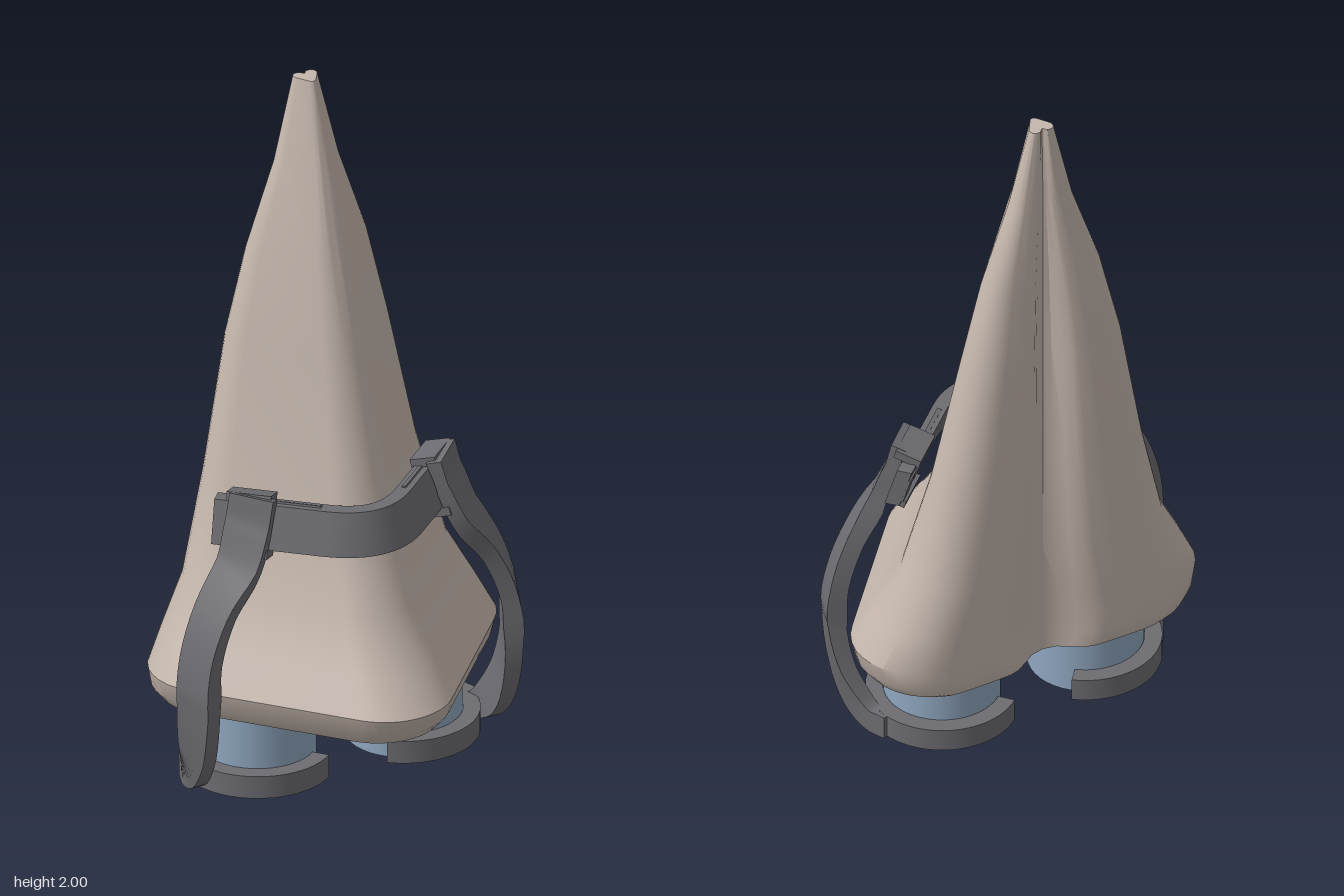
import * as THREE from 'three';
import { toCreasedNormals } from 'three/addons/utils/BufferGeometryUtils.js';

const V = (x, y, z) => new THREE.Vector3(x, y, z);
const bodyMat = new THREE.MeshStandardMaterial({ color: 0xc4b6ac });
const metalMat = new THREE.MeshStandardMaterial({ color: 0x6c6c72 });
const blueMat = new THREE.MeshStandardMaterial({ color: 0x8fa6bf });

// Closed solid through a list of rings, capped at both ends, always facing out
function loft(rings, crease) {
  const n = rings[0].length, pts = rings.flat(), tris = [];
  for (let i = 0; i < rings.length - 1; i++) {
    for (let j = 0; j < n; j++) {
      const a = i * n + j, b = i * n + (j + 1) % n;
      tris.push([a, b, a + n], [b, b + n, a + n]);
    }
  }
  for (const end of [0, rings.length - 1]) {
    const c = V(0, 0, 0);
    rings[end].forEach(p => c.addScaledVector(p, 1 / n));
    pts.push(c);
    for (let j = 0; j < n; j++) {
      const a = end * n + j, b = end * n + (j + 1) % n;
      tris.push(end ? [a, b, pts.length - 1] : [b, a, pts.length - 1]);
    }
  }
  let volume = 0;
  for (const [a, b, c] of tris) volume += pts[a].dot(V(0, 0, 0).crossVectors(pts[b], pts[c]));
  if (volume < 0) tris.forEach(t => t.reverse());
  const geo = new THREE.BufferGeometry().setFromPoints(pts);
  geo.setIndex(tris.flat());
  return toCreasedNormals(geo, crease);
}

function add(parent, name, geo, mat) {
  const mesh = new THREE.Mesh(geo, mat);
  mesh.name = name;
  parent.add(mesh);
  return mesh;
}

// Heart-like half outline as [x, z, notch weight]
function halfOutline() {
  const out = [], flank = 0.75;
  for (let i = 0; i <= 6; i++) {
    const a = Math.PI / 2 + (flank - Math.PI / 2) * i / 6;
    out.push([0.19 * Math.cos(a), 0.175 + 0.19 * Math.sin(a), 0]);
  }
  for (let i = 0; i <= 11; i++) {
    const a = flank - (flank + Math.PI / 2) * i / 11;
    out.push([0.335 + 0.18 * Math.cos(a), -0.19 + 0.18 * Math.sin(a), 0]);
  }
  out.push([0.24, -0.37, 0], [0.16, -0.37, 0.03], [0.125, -0.37, 0.16],
    [0.085, -0.37, 0.5], [0.045, -0.37, 0.87], [0, -0.37, 1]);
  return out;
}

function bodyGeometry() {
  // height, half width, front z, back z
  const levels = [
    [0.215, 0.44, 0.25, -0.36], [0.23, 0.475, 0.31, -0.367], [0.265, 0.503, 0.345, -0.37],
    [0.32, 0.515, 0.365, -0.37], [0.42, 0.465, 0.288, -0.37], [0.56, 0.39, 0.18, -0.37],
    [0.86, 0.315, 0.07, -0.37], [1.25, 0.24, -0.035, -0.365], [1.5, 0.18, -0.105, -0.342],
    [1.75, 0.095, -0.172, -0.32], [2, 0.035, -0.24, -0.306]];
  const half = halfOutline();
  const full = [...half, ...half.slice(1, -1).reverse().map(([x, z, k]) => [-x, z, k])];
  return loft(levels.map(([y, w, zf, zb]) => full.map(([x, z, k]) =>
    V(x / 0.515 * w, y, zb + (z + 0.37) / 0.735 * (zf - zb) + k * Math.max(0.012, -0.3 - zb)))), 0.5);
}

// Leaning band bent round the front of the body
function strapGeometry() {
  const path = [V(-0.36, 0, -0.135), V(-0.13, 0, 0.07)];
  const bend = new THREE.QuadraticBezierCurve3(V(-0.13, 0, 0.07), V(0, 0, 0.186), V(0.13, 0, 0.07));
  path.push(...bend.getPoints(12).slice(1), V(0.36, 0, -0.135));
  return loft(path.map((p, i) => {
    const t = path[Math.min(i + 1, path.length - 1)].clone().sub(path[Math.max(i - 1, 0)]).normalize();
    const corner = (y, d) => V(p.x - t.z * d, y, p.z + t.x * d);
    return [corner(0.855, -0.038), corner(0.855, 0.004), corner(0.735, 0.04), corner(0.735, -0.002)];
  }), 0.5);
}

// Flat bar that drops from the strap, bows outward and turns back into the foot ring
function armGeometry(s) {
  // x, y, z, facing angle, turn toward the back, width, thickness
  const keys = [
    [0.288, 0.885, -0.045, 0.82, 0, 0.125, 0.045], [0.315, 0.79, -0.03, 0.8, 0, 0.125, 0.045],
    [0.348, 0.7, -0.015, 0.75, 0, 0.12, 0.05], [0.425, 0.58, -0.008, 0.55, 0, 0.11, 0.05],
    [0.474, 0.44, 0, 0.42, 0, 0.11, 0.05], [0.482, 0.3, 0.003, 0.35, 0.05, 0.115, 0.05],
    [0.472, 0.16, -0.025, 0.2, 0.35, 0.115, 0.045], [0.456, 0.075, -0.075, 0.05, 0.9, 0.1, 0.042],
    [0.442, 0.041, -0.13, 0, 1.5, 0.072, 0.04], [0.425, 0.04, -0.19, -0.2, 1.57, 0.07, 0.03]];
  const curve = k => new THREE.CatmullRomCurve3(keys.map(v => V(...k.map(i => v[i]))));
  const path = curve([0, 1, 2]), turn = curve([3, 4, 5]), size = curve([6, 6, 6]);
  const rings = [];
  for (let i = 0; i <= 36; i++) {
    const u = i / 36, p = path.getPoint(u), t = path.getTangent(u), f = turn.getPoint(u);
    const w = V(-Math.sin(f.x) * Math.cos(f.y), -Math.sin(f.y), Math.cos(f.x) * Math.cos(f.y));
    w.addScaledVector(t, -w.dot(t)).normalize();
    const n = V(0, 0, 0).crossVectors(t, w), h = size.getPoint(u).x / 2;
    rings.push([[1, 1], [1, -1], [-1, -1], [-1, 1]].map(([a, b]) => {
      const q = p.clone().addScaledVector(w, a * f.z / 2).addScaledVector(n, b * h);
      q.x *= s;
      return q;
    }));
  }
  return loft(rings, 0.6);
}

// Open ring with its gap toward the middle of the model
function ringGeometry(s) {
  const gap = 0.87, start = (s > 0 ? Math.PI : 0) + gap, end = start + 2 * (Math.PI - gap);
  const shape = new THREE.Shape();
  shape.absarc(0, 0, 0.21, start, end, false);
  shape.absarc(0, 0, 0.162, end, start, true);
  const geo = new THREE.ExtrudeGeometry(shape, { depth: 0.067, bevelEnabled: false, curveSegments: 32 });
  return toCreasedNormals(geo.rotateX(-Math.PI / 2), 0.5);
}

export function createModel() {
  const model = new THREE.Group();
  model.name = 'strappedCone';
  add(model, 'body', bodyGeometry(), bodyMat);
  add(model, 'strap', strapGeometry(), metalMat);

  for (const s of [1, -1]) {
    const side = new THREE.Group();
    side.name = s > 0 ? 'leftSide' : 'rightSide';
    model.add(side);

    add(side, 'footCylinder', new THREE.CylinderGeometry(0.16, 0.16, 0.225, 40), blueMat)
      .position.set(s * 0.225, 0.1125, -0.14);
    add(side, 'footRing', ringGeometry(s), metalMat).position.set(s * 0.225, 0.008, -0.14);
    add(side, 'arm', armGeometry(s), metalMat);

    // Clasp lips over and under the strap, and raised rails on the strap
    const clasp = new THREE.Group();
    clasp.name = 'clasp';
    clasp.position.set(s * 0.287, 0.795, -0.065);
    clasp.rotation.set(-0.28, s * 0.73, 0, 'YXZ');
    side.add(clasp);
    for (const y of [0.075, -0.077]) {
      add(clasp, 'claspLip', new THREE.BoxGeometry(0.125, 0.025, 0.075), metalMat).position.set(0, y, 0.005);
    }
    add(clasp, 'topRail', new THREE.BoxGeometry(0.13, 0.012, 0.012), metalMat).position.set(-s * 0.13, 0.062, -0.005);
    add(clasp, 'endRail', new THREE.BoxGeometry(0.05, 0.08, 0.012), metalMat).position.set(s * 0.075, 0, -0.022);
  }
  return model;
}
